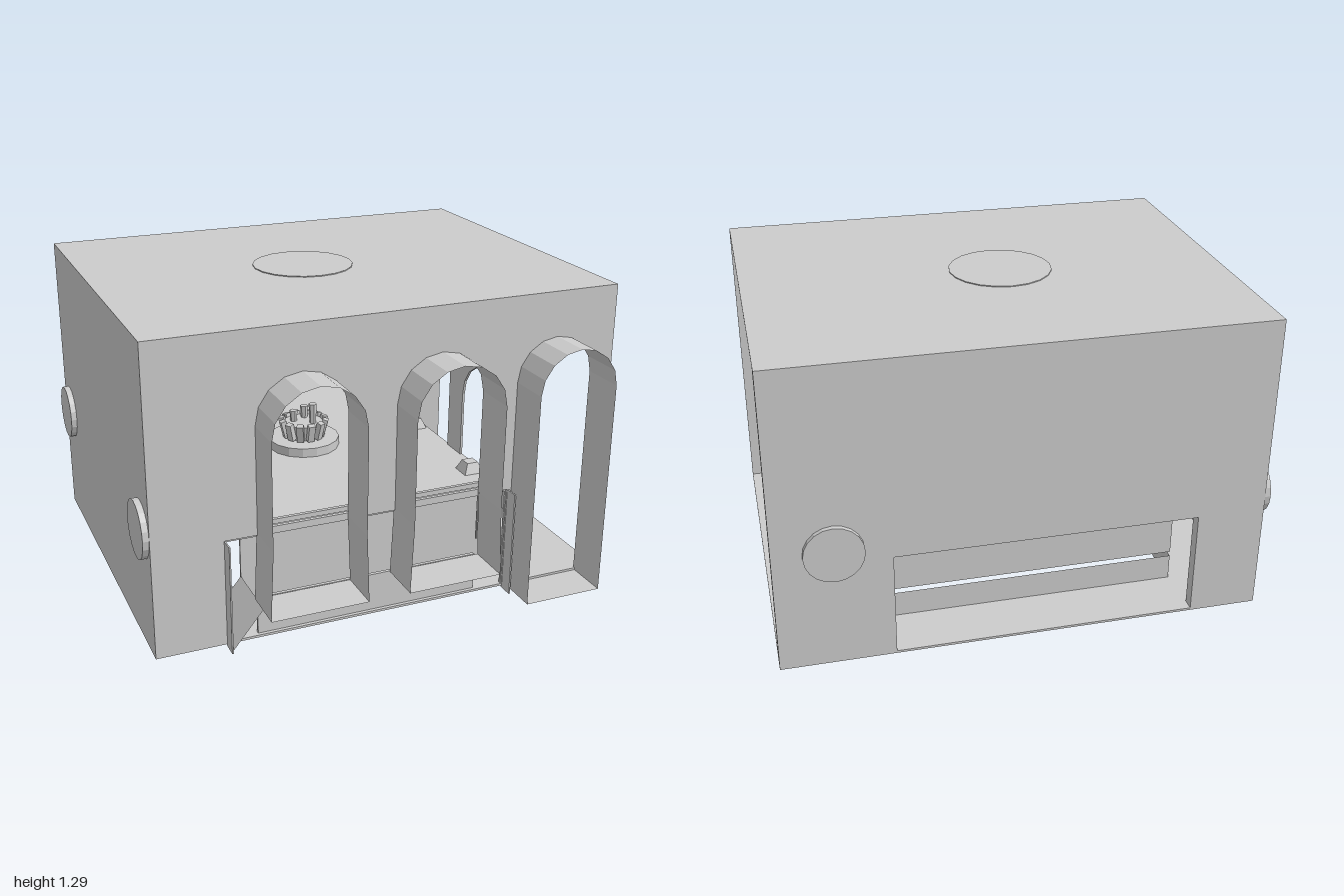
import * as THREE from 'three';

const mat = new THREE.MeshStandardMaterial({ color: 0xcccccc, flatShading: true, side: THREE.DoubleSide });

// Outline of an arch: straight jambs that may flare at the foot, with a round faceted head
function archPoints(x0, x1, y0, y1, flare = 0) {
  const r = (x1 - x0) / 2, cx = (x0 + x1) / 2, n = 8;
  const pts = [[x0 - flare, y0]];
  if (flare) pts.push([x0, 0.47]);
  for (let i = 0; i <= n; i++) {
    const a = Math.PI * (1 - i / n);
    pts.push([cx + r * Math.cos(a), y1 - r + r * Math.sin(a)]);
  }
  if (flare) pts.push([x1, 0.47]);
  pts.push([x1 + flare, y0]);
  return pts.map(p => new THREE.Vector2(...p));
}

const rectPoints = (x0, x1, y0, y1) =>
  [[x0, y0], [x0, y1], [x1, y1], [x1, y0]].map(p => new THREE.Vector2(...p));

// Doorway with chamfered head
const doorPoints = (x0, x1, y0, y1) => {
  const c = (x1 - x0) * 0.3;
  return [[x0, y0], [x0, y1 - c], [x0 + c, y1], [x1 - c, y1], [x1, y1 - c], [x1, y0]].map(p => new THREE.Vector2(...p));
};

function wallGeometry(outline, holes, depth) {
  const shape = new THREE.Shape(outline);
  holes.forEach(h => shape.holes.push(new THREE.Path(h)));
  return new THREE.ExtrudeGeometry(shape, { depth, bevelEnabled: false });
}

// Open ribbon following an outline, extended along z
function ribbonGeometry(pts, z0, z1, closed) {
  const pos = [], n = closed ? pts.length : pts.length - 1;
  for (let i = 0; i < n; i++) {
    const a = pts[i], b = pts[(i + 1) % pts.length];
    pos.push(a.x, a.y, z0, b.x, b.y, z0, b.x, b.y, z1, a.x, a.y, z0, b.x, b.y, z1, a.x, a.y, z1);
  }
  const g = new THREE.BufferGeometry();
  g.setAttribute('position', new THREE.Float32BufferAttribute(pos, 3));
  g.computeVertexNormals();
  return g;
}

export function createModel() {
  const model = new THREE.Group();
  const add = (name, geo, x = 0, y = 0, z = 0, parent = model) => {
    const m = new THREE.Mesh(geo, mat);
    m.name = name;
    m.position.set(x, y, z);
    parent.add(m);
    return m;
  };
  const box = (name, x0, x1, y0, y1, z0, z1) =>
    add(name, new THREE.BoxGeometry(x1 - x0, y1 - y0, z1 - z0), (x0 + x1) / 2, (y0 + y1) / 2, (z0 + z1) / 2);

  // Roof and closed side wall; the left side stays open
  box('roof', -0.97, 1, 1.28, 1.288, -0.85, 0.69);
  box('sideWall', -0.97, -0.96, 0.01, 1.28, -0.85, 0.69);

  // Ground floor with a rectangular pit and a low rim round it
  const floor = add('groundFloor', wallGeometry(rectPoints(-0.97, 1, -0.69, 0.85),
    [rectPoints(-0.68, 0.54, -0.47, 0.62)], 0.01), 0, 0.01, 0);
  floor.rotation.x = -Math.PI / 2;
  const rim = add('pitRim', ribbonGeometry(rectPoints(-0.68, 0.54, -0.47, 0.62), 0.01, 0.13, true));
  rim.rotation.x = -Math.PI / 2;

  // Front wall: two high arches above a wide low opening, one full-height arch
  const low = [[-0.97, 0.01], [-0.68, 0.01], [-0.68, 0.46], [-0.55, 0.46]];
  const frontOutline = [...low,
    ...archPoints(-0.55, -0.17, 0.46, 1.1).map(p => [p.x, p.y]),
    ...archPoints(0.03, 0.41, 0.46, 1.1).map(p => [p.x, p.y]),
    [0.54, 0.46], [0.54, 0.01],
    ...archPoints(0.56, 0.905, 0.01, 1.1).map(p => [p.x, p.y]),
    [1, 0.01], [1, 1.28], [-0.97, 1.28]].map(p => new THREE.Vector2(...p));
  add('frontWall', wallGeometry(frontOutline, [], 0.01), 0, 0, 0.68);

  // Arch surrounds standing proud of the front
  for (const [x0, x1, y0, flare] of [[-0.55, -0.17, 0.18, 0.012], [0.03, 0.41, 0.18, 0.012], [0.56, 0.905, 0.01, 0]])
    add('archSurround', ribbonGeometry(archPoints(x0, x1, y0, 1.1, flare), 0.68, 0.87, true));

  // Cheeks, kerb, corner slope and rails of the low front opening
  for (const x of [-0.68, 0.545]) box('openingCheek', x - 0.003, x + 0.003, 0, 0.46, 0.68, 0.75);
  box('frontKerb', -0.55, 0.41, 0.01, 0.18, 0.66, 0.675);
  add('cornerSlope', ribbonGeometry([new THREE.Vector2(-0.68, 0.01), new THREE.Vector2(-0.55, 0.17)], 0.47, 0.75));
  for (const y of [0.47, 0.5]) box('frontRail', -0.68, 0.54, y - 0.01, y + 0.01, 0.665, 0.68);

  // Back wall with its low opening
  const back = [[-0.97, 0.01], [-0.69, 0.01], [-0.69, 0.46], [0.54, 0.46], [0.54, 0.01], [1, 0.01], [1, 1.28], [-0.97, 1.28]];
  add('backWall', wallGeometry(back.map(p => new THREE.Vector2(...p)), [], 0.05), 0, 0, -0.85);

  // Raised platform, and the walls carrying it between the two passages
  box('platform', -0.96, 0.54, 0.45, 0.46, -0.8, 0.68);
  box('backLedge', -0.68, 0.53, 0.15, 0.32, -0.62, -0.4);
  box('backCoreWall', -0.68, 0.53, 0.32, 0.45, -0.41, -0.4);
  box('frontCoreWall', -0.55, 0.53, 0.13, 0.45, 0.46, 0.47);

  // Inner wall: three arches over the platform, two doors beneath
  const inner = add('innerWall', wallGeometry(rectPoints(-0.8, 0.68, 0.01, 1.28), [
    archPoints(0.29, 0.63, 0.46, 0.91), archPoints(-0.33, 0.17, 0.46, 1.14), archPoints(-0.78, -0.44, 0.46, 0.91),
    doorPoints(0.47, 0.675, 0.012, 0.42), doorPoints(-0.79, -0.62, 0.012, 0.42)], 0.01), 0.545, 0, 0);
  inner.rotation.y = -Math.PI / 2;

  // Round ports through the walls, each with a ring inside
  const port = (x, z, turn) => {
    const g = new THREE.Group();
    g.name = 'wallPort';
    const disc = add('portDisc', new THREE.CylinderGeometry(0.118, 0.118, 0.03, 20), 0, 0, -0.005, g);
    disc.rotation.x = Math.PI / 2;
    add('portRing', new THREE.TorusGeometry(0.1, 0.02, 6, 16), 0, 0, 0.07, g);
    g.position.set(x, 0.515, z);
    g.rotation.y = turn;
    model.add(g);
  };
  port(0.765, -0.85, 0);
  port(-0.975, -0.73, Math.PI / 2);
  port(-0.975, 0.57, Math.PI / 2);

  // Curved spout below the back port
  const spoutLine = [[-0.8, 0.46], [-0.74, 0.42], [-0.7, 0.33], [-0.67, 0.15], [-0.72, 0.15], [-0.75, 0.3], [-0.8, 0.38]];
  const spout = add('spout', wallGeometry(spoutLine.map(p => new THREE.Vector2(...p)), [], 0.11), 0.82, 0, 0);
  spout.rotation.y = -Math.PI / 2;

  // Small tapered studs on the platform
  for (const [x, z] of [[0.49, 0.46], [0.49, -0.08], [0.49, -0.59], [-0.62, 0.46], [-0.62, -0.59]]) {
    const stud = new THREE.CylinderGeometry(0.035, 0.062, 0.045, 4);
    stud.rotateY(Math.PI / 4);
    add('stud', stud, x, 0.482, z);
  }

  // Centrepiece: a stepped ceiling boss and matching floor pedestal with finned cups
  const centre = new THREE.Group();
  centre.name = 'centrepiece';
  centre.position.set(-0.06, 0, -0.08);
  model.add(centre);
  const drum = (name, r0, r1, y0, y1, n = 16) =>
    add(name, new THREE.CylinderGeometry(r1, r0, y1 - y0, n), 0, (y0 + y1) / 2, 0, centre);
  drum('ceilingBoss', 0.213, 0.213, 0.965, 1.292, 20);
  drum('ceilingStep', 0.158, 0.158, 0.91, 0.965);
  drum('upperCup', 0.055, 0.085, 0.845, 0.91, 12);
  drum('upperTip', 0.008, 0.02, 0.825, 0.845, 6);
  drum('pedestal', 0.158, 0.158, 0.46, 0.5);
  drum('lowerCup', 0.07, 0.09, 0.5, 0.57, 12);
  const fins = (y, h, r, lean) => {
    for (let i = 0; i < 12; i++) {
      const pivot = new THREE.Group();
      pivot.name = 'fin';
      pivot.rotation.y = i * Math.PI / 6;
      const fin = add('finBlade', new THREE.BoxGeometry(0.025, h, 0.03), r, y, 0, pivot);
      fin.rotation.z = lean;
      centre.add(pivot);
    }
  };
  fins(0.875, 0.065, 0.08, -0.35);
  fins(0.545, 0.08, 0.09, -0.25);
  for (const [x, z, h] of [[0.03, 0.035, 0.1], [0.02, -0.045, 0.065], [-0.04, -0.02, 0.06]])
    add('prong', new THREE.CylinderGeometry(0.018, 0.014, h, 6), x, 0.56 + h / 2, z, centre);

  return model;
}
